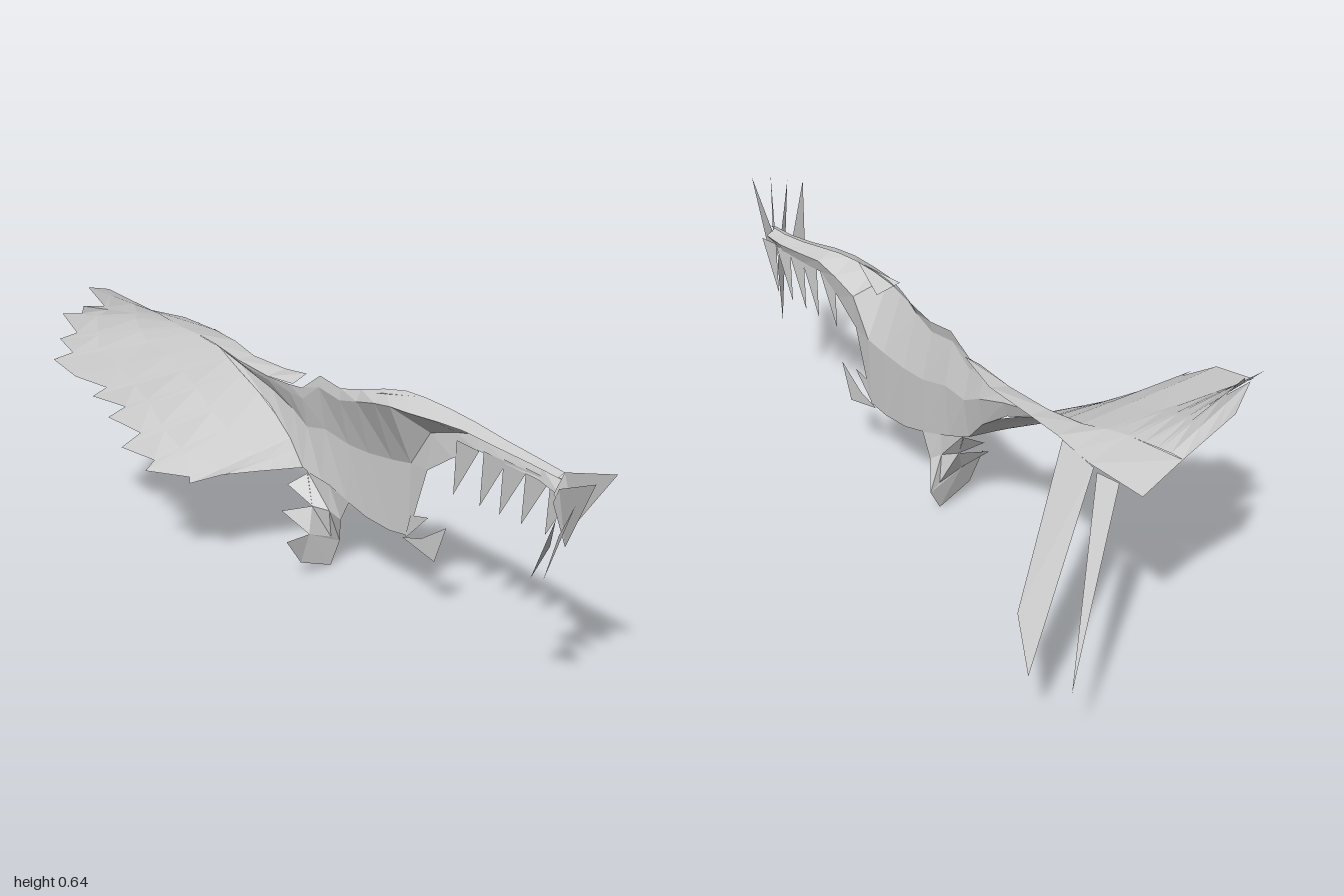
import * as THREE from 'three';

const grey = new THREE.MeshStandardMaterial({ color: 0xcccccc, flatShading: true, side: THREE.DoubleSide });
grey.name = 'feather grey';

// mesh from a list of triangles, each three points
function fromTriangles(name, tris) {
  const g = new THREE.BufferGeometry();
  g.setAttribute('position', new THREE.Float32BufferAttribute(tris.flat(2), 3));
  g.computeVertexNormals();
  const m = new THREE.Mesh(g, grey);
  m.name = name;
  return m;
}

// sheet spanned between consecutive cross-sections
function sheet(name, rows) {
  const tris = [];
  for (let i = 0; i + 1 < rows.length; i++) {
    for (let j = 0; j + 1 < rows[i].length; j++) {
      const a = rows[i][j], b = rows[i][j + 1], c = rows[i + 1][j], d = rows[i + 1][j + 1];
      tris.push([a, c, b], [b, c, d]);
    }
  }
  return fromTriangles(name, tris);
}

// flat feather given by three or four corners
const feather = (name, a, b, c, d) => fromTriangles(name, d ? [[a, b, c], [a, c, d]] : [[a, b, c]]);
const mix = (a, b, t) => a.map((v, i) => v + (b[i] - v) * t);

export function createModel() {
  const model = new THREE.Group();
  model.name = 'lowPolyBird';

  // cross-section: overhanging top edge, ridge, middle, bottom edge
  const section = ([z, xTop, yTop, xRidge, yBottom, xBottom]) => [
    [xTop, yTop, z],
    [xRidge, yTop - 0.15 * Math.min(yTop - yBottom, 0.2), z],
    [0.016 + xBottom * 0.5, (yTop + yBottom) / 2, z],
    [xBottom, yBottom, z],
  ];
  const joint = [0.33, 0.005, 0.58, -0.048, 0.39, 0.018];
  model.add(sheet('frontWing', [
    [0.79, -0.005, 0.535, -0.025, 0.48, -0.015], [0.7, 0.005, 0.54, -0.02, 0.485, 0.01],
    [0.6, 0.008, 0.55, -0.025, 0.49, 0.012], [0.5, 0.008, 0.565, -0.035, 0.495, 0.014],
    [0.42, 0.005, 0.575, -0.045, 0.45, 0.015], joint,
  ].map(section)));
  model.add(sheet('body', [
    joint, [0.26, 0.005, 0.578, -0.045, 0.19, 0.022], [0.19, 0, 0.565, -0.035, 0.18, 0.022],
    [0.1, 0, 0.54, -0.015, 0.185, 0.022], [0.02, 0, 0.52, -0.005, 0.205, 0.02],
    [-0.07, 0.005, 0.53, 0, 0.23, 0.01], [-0.14, 0, 0.48, 0, 0.255, 0], [-0.2, 0, 0.475, 0.003, 0.32, 0.005],
    [-0.3, 0.005, 0.47, 0.008, 0.39, 0.01], [-0.45, 0.015, 0.477, 0.015, 0.45, 0.015],
    [-0.57, 0.02, 0.495, 0.02, 0.492, 0.02],
  ].map(section)));

  // small flap on the shoulder
  model.add(feather('shoulderFlap', [-0.03, 0.56, 0.19], [0.005, 0.58, 0.33], [0.045, 0.545, 0.19]));

  // trailing feathers of the front wing
  for (const z of [0.72, 0.645, 0.575, 0.51, 0.42]) {
    model.add(feather('frontWingFeather', [0.012, 0.495, z + 0.09], [0.02, 0.355, z], [0.012, 0.5, z + 0.015]));
  }

  // long tip feathers of the front wing
  for (const corners of [
    [[-0.005, 0.535, 0.79], [-0.07, 0.61, 0.99], [-0.03, 0.44, 0.85], [-0.015, 0.48, 0.77]],
    [[-0.02, 0.5, 0.79], [-0.135, 0.605, 0.99], [-0.035, 0.38, 0.83], [-0.015, 0.46, 0.77]],
    [[-0.035, 0.4, 0.81], [-0.193, 0.575, 0.99], [0, 0.255, 0.74]],
    [[-0.105, 0.41, 0.85], [-0.248, 0.56, 0.99], [-0.15, 0.345, 0.84]],
  ]) model.add(feather('frontWingTipFeather', ...corners));

  // lower body feathers
  model.add(feather('bellyFeather', [0.02, 0.2, 0.31], [0.02, 0.26, 0.4], [0.02, 0.155, 0.36], [0.02, 0.18, 0.24]));
  model.add(feather('bellyFeather', [0.02, 0.25, 0.27], [0.02, 0.265, 0.335], [0.02, 0.18, 0.25]));

  // rear wing ribs: inner point, outer tip, and how far the notch after the tip reaches
  const ribs = [
    [[0, 0.255, -0.14], [-0.09, 0.26, -0.17], 0.95],
    [[0.003, 0.293, -0.175], [-0.2, 0.262, -0.215], 0.95],
    [[0.005, 0.32, -0.2], [-0.3, 0.256, -0.235], 0.92],
    [[0.0085, 0.369, -0.27], [-0.385, 0.29, -0.31], 0.9],
    [[0.012, 0.41, -0.35], [-0.417, 0.345, -0.37], 0.85],
    [[0.014, 0.442, -0.43], [-0.41, 0.407, -0.44], 0.86],
    [[0.017, 0.469, -0.5], [-0.425, 0.455, -0.49], 0.88],
    [[0.02, 0.492, -0.57], [-0.433, 0.493, -0.56], 1],
    [[0.01, 0.508, -0.64], [-0.43, 0.51, -0.68], 0.88],
    [[0, 0.515, -0.7], [-0.385, 0.55, -0.72], 0.87],
    [[0, 0.52, -0.75], [-0.34, 0.6, -0.78], 0.86],
    [[0, 0.525, -0.79], [-0.27, 0.607, -0.785], 0.76],
    [[0, 0.53, -0.83], [-0.217, 0.64, -0.845], 1],
    [[0, 0.53, -0.865], [-0.125, 0.61, -0.89], 1],
  ];
  const wingRows = [];
  ribs.forEach(([a, b, reach], i) => {
    wingRows.push([0, 0.35, 0.7, 1].map(t => mix(a, b, t)));
    if (i + 1 === ribs.length || reach === 1) return;
    const [c, d] = ribs[i + 1];
    wingRows.push([0, 0.35, 0.7, reach].map(t => mix(mix(a, c, 0.2), mix(b, d, 0.2), t)));
  });
  model.add(sheet('rearWing', wingRows));

  // narrow leading strip of the rear wing
  model.add(sheet('rearWingLeadingEdge', [
    [[0, 0.48, -0.18], [0.035, 0.505, -0.165]],
    [[0.005, 0.47, -0.3], [0.06, 0.482, -0.29]],
    [[0.015, 0.477, -0.45], [0.07, 0.478, -0.45]],
    [[0.02, 0.494, -0.57], [0.092, 0.488, -0.57]],
    [[0.01, 0.508, -0.64], [0.105, 0.486, -0.64]],
    [[0, 0.515, -0.7], [0.115, 0.485, -0.7]],
    [[0, 0.53, -0.865], [0.12, 0.485, -0.87]],
  ]));

  // two long rear spikes
  model.add(feather('rearSpike', [0.12, 0.485, -0.8], [0.418, 0.195, -0.998], [0.12, 0.478, -0.73]));
  model.add(feather('rearSpike', [0.12, 0.485, -0.72], [0.432, 0.17, -0.88], [0.362, 0.23, -0.76], [0.095, 0.487, -0.59]));

  // leg below the body with three stepped toes
  const ankle = [0.05, 0.06, -0.045], sole = [0.015, 0, -0.04], heel = [0.02, 0.08, -0.045];
  model.add(sheet('leg', [
    [[0.02, 0.205, 0.03], [0.01, 0.235, -0.04], [0, 0.25, -0.12]],
    [[0.025, 0.14, -0.01], [0.01, 0.16, -0.04], [-0.02, 0.17, -0.075]],
    [ankle, heel, [-0.05, 0.105, -0.05]],
  ]));
  model.add(feather('toe', [0, 0.245, -0.12], [-0.052, 0.22, -0.14], [-0.02, 0.17, -0.075]));
  model.add(feather('toe', [-0.02, 0.17, -0.075], [-0.095, 0.165, -0.11], [-0.05, 0.105, -0.05], heel));
  model.add(feather('toe', [-0.05, 0.105, -0.05], [-0.14, 0.115, -0.03], [-0.09, 0.04, -0.035], sole));
  model.add(feather('toe', [-0.05, 0.105, -0.05], sole, ankle, heel));
  return model;
}
